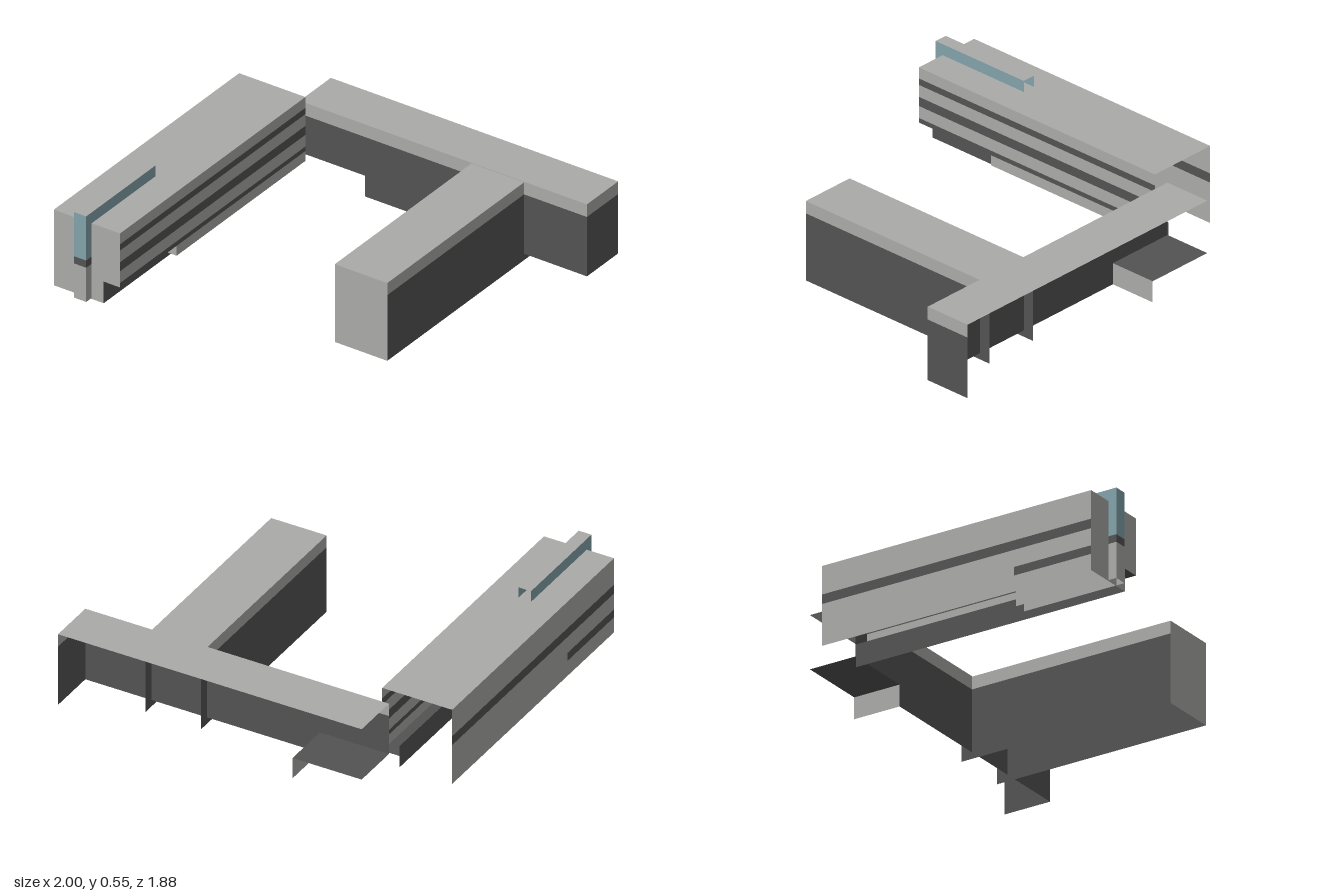
import * as THREE from 'three';

const material = (name, color) => {
  const m = new THREE.MeshStandardMaterial({ color, side: THREE.DoubleSide });
  m.name = name;
  return m;
};

export function createModel() {
  const model = new THREE.Group();
  const light = material('light grey', 0xaaaaa8);
  const dark = material('dark grey', 0x535353);
  const blue = material('blue glass', 0x82a2aa);

  const addGroup = (name) => {
    const g = new THREE.Group();
    g.name = name;
    model.add(g);
    return g;
  };
  const plate = (group, name, w, h, mat, pos, rx = 0, ry = 0) => {
    const m = new THREE.Mesh(new THREE.PlaneGeometry(w, h), mat);
    m.name = name;
    m.position.set(...pos);
    m.rotation.set(rx, ry, 0);
    group.add(m);
  };
  // Wall across x, facing the front
  const wallZ = (g, name, z, x0, x1, y0, y1, mat) =>
    plate(g, name, x1 - x0, y1 - y0, mat, [(x0 + x1) / 2, (y0 + y1) / 2, z]);
  // Wall along z; dir is +1 for facing +x, -1 for facing -x
  const wallX = (g, name, x, z0, z1, y0, y1, mat, dir = 1) =>
    plate(g, name, z1 - z0, y1 - y0, mat, [x, (y0 + y1) / 2, (z0 + z1) / 2], 0, dir * Math.PI / 2);
  // Horizontal sheet; dir is +1 for facing up, -1 for facing down
  const slab = (g, name, y, x0, x1, z0, z1, mat, dir = 1) =>
    plate(g, name, x1 - x0, z1 - z0, mat, [(x0 + x1) / 2, y, (z0 + z1) / 2], -dir * Math.PI / 2);
  // Wall along z in stacked bands, alternating light and dark from the first level
  const bandedX = (g, name, x, z0, z1, levels, first, dir) => {
    for (let i = 0; i + 1 < levels.length; i++) {
      const mat = (i % 2 === 0) === (first === light) ? light : dark;
      wallX(g, name, x, z0, z1, levels[i], levels[i + 1], mat, dir);
    }
  };

  // Long striped wing, open at the back and below
  const wing = addGroup('stripedWing');
  slab(wing, 'wingRoof', 0.49, -1, -0.615, -0.65, 0.89, light);
  wallZ(wing, 'wingFront', 0.89, -1, -0.71, 0.07, 0.49, light);
  wallZ(wing, 'wingFrontOverhang', 0.89, -0.71, -0.615, 0.19, 0.49, light);
  bandedX(wing, 'wingInnerWall', -0.615, -0.65, 0.89,
    [0.19, 0.215, 0.28, 0.33, 0.395, 0.43, 0.49], dark, 1);
  wallX(wing, 'recessedWall', -0.71, -0.65, 0.89, 0.07, 0.19, dark);
  slab(wing, 'overhangSoffit', 0.19, -0.71, -0.615, 0.42, 0.89, dark, -1);
  // Lower step under the overhang
  wallZ(wing, 'stepFront', 0.42, -0.71, -0.615, 0.135, 0.19, light);
  wallX(wing, 'stepSide', -0.615, -0.65, 0.42, 0.135, 0.19, light);
  slab(wing, 'stepSoffit', 0.135, -0.71, -0.615, -0.65, 0.42, dark, -1);
  // Outer wall: one full window stripe, one short stripe near the front
  bandedX(wing, 'wingOuterWall', -1, -0.65, 0.45, [0.07, 0.29, 0.34, 0.49], light, -1);
  bandedX(wing, 'wingOuterWall', -1, 0.45, 0.89, [0.07, 0.155, 0.2, 0.29, 0.34, 0.49], light, -1);

  // Tall fin through the front of the wing
  const fin = addGroup('glassFin');
  const finBands = [[0.075, 0.265, light], [0.265, 0.305, dark], [0.305, 0.55, blue]];
  for (const [y0, y1, mat] of finBands) {
    wallZ(fin, 'finFront', 0.935, -0.85, -0.78, y0, y1, mat);
    wallX(fin, 'finSide', -0.78, 0.36, 0.935, y0, y1, mat);
    wallX(fin, 'finSide', -0.85, 0.36, 0.935, y0, y1, mat, -1);
  }
  slab(fin, 'finTop', 0.55, -0.85, -0.78, 0.36, 0.935, light);

  // Cross block, open at the back, with a raised passage at one end
  const block = addGroup('crossBlock');
  slab(block, 'blockRoof', 0.435, -0.67, 1, -0.94, -0.68, light);
  wallZ(block, 'blockFrontBand', -0.68, -0.67, 1, 0.365, 0.435, light);
  wallZ(block, 'blockFront', -0.68, -0.29, 1, 0.035, 0.365, dark);
  wallZ(block, 'passageFront', -0.68, -0.67, -0.29, 0.15, 0.365, dark);
  bandedX(block, 'blockEndWall', 1, -0.94, -0.68, [0.035, 0.365, 0.435], dark, 1);
  slab(block, 'passageSoffit', 0.15, -0.67, -0.29, -0.94, -0.68, dark, -1);
  wallX(block, 'passageWall', -0.29, -0.94, -0.68, 0.035, 0.15, light, -1);

  // Stem block running forward; its side walls pass into the cross block
  const stem = addGroup('stemBlock');
  slab(stem, 'stemRoof', 0.432, 0.33, 0.635, -0.74, 0.457, light);
  wallZ(stem, 'stemFront', 0.457, 0.33, 0.635, 0, 0.432, light);
  for (const [x, dir] of [[0.33, -1], [0.635, 1]])
    bandedX(stem, 'stemSideWall', x, -0.74, 0.457, [0, 0.365, 0.432], dark, dir);

  return model;
}
